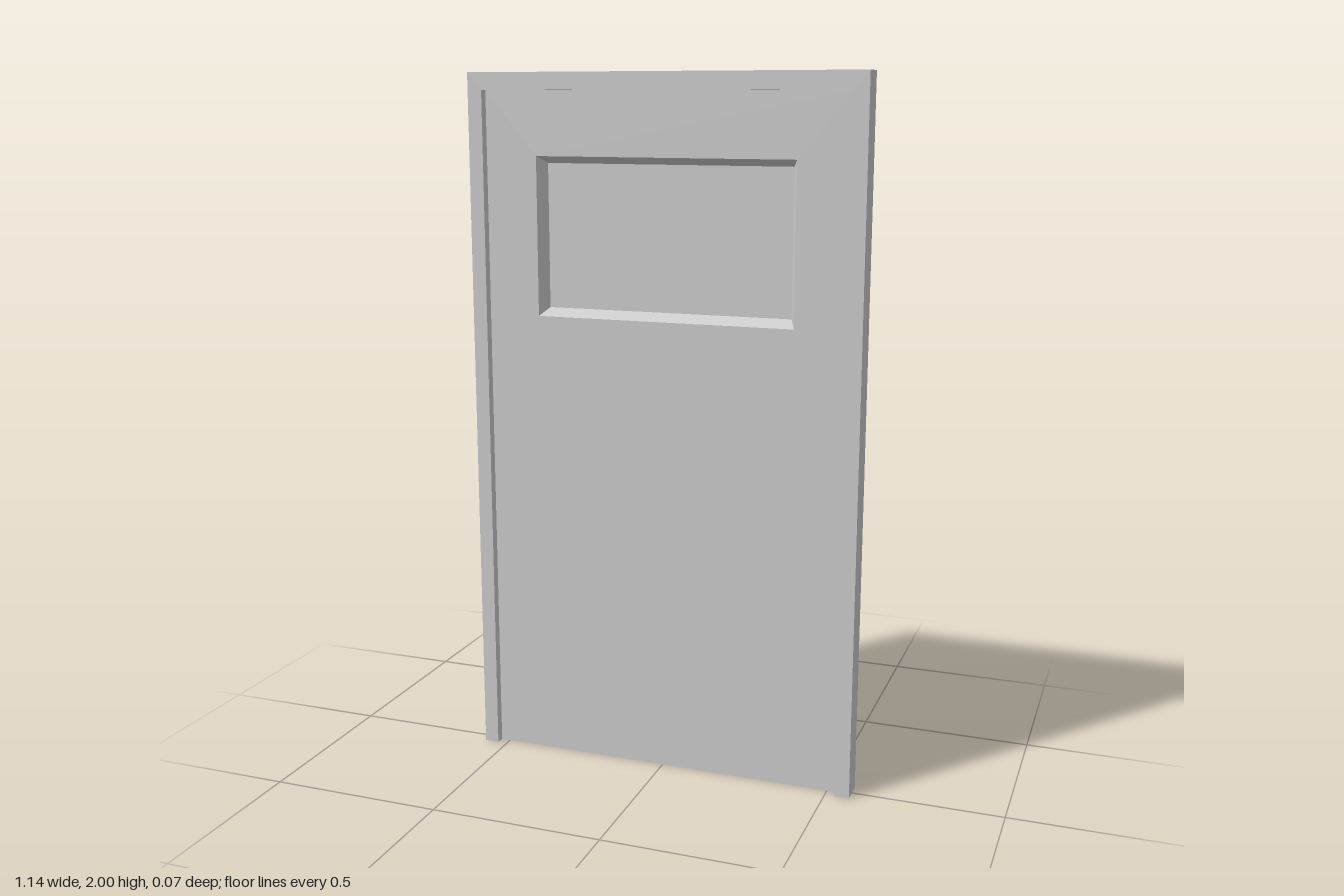
import * as THREE from 'three';

const material = new THREE.MeshStandardMaterial({
  color: 0xcccccc, flatShading: true, side: THREE.DoubleSide,
});

const W = 0.57, H = 2, Z = 0.037;      // outer half width, height, half depth
const IW = 0.528, IH = 1.952;          // frame opening
const DOOR_Z = 0.011, PAN_Z = -0.03;   // door sheet and window pan floor

function mesh(name, geometry) {
  const m = new THREE.Mesh(geometry, material);
  m.name = name;
  return m;
}

// Corners of a rectangle: up the -x side, across the top, down the +x side
function corners(w, bottom, top, z) {
  return [[-w, bottom, z], [-w, top, z], [w, top, z], [w, bottom, z]];
}

// Folded sheet running through successive corner loops
function foldedSheet(loops, closed) {
  const pos = [];
  for (let l = 0; l < loops.length - 1; l++) {
    const a = loops[l], b = loops[l + 1];
    const n = closed ? a.length : a.length - 1;
    for (let i = 0; i < n; i++) {
      const j = (i + 1) % a.length;
      pos.push(...a[i], ...b[i], ...b[j], ...a[i], ...b[j], ...a[j]);
    }
  }
  const g = new THREE.BufferGeometry();
  g.setAttribute('position', new THREE.Float32BufferAttribute(pos, 3));
  g.computeVertexNormals();
  return g;
}

export function createModel() {
  const group = new THREE.Group();
  group.name = 'door';

  // Frame: outer wall, front face and return to the door sheet, open at the back
  group.add(mesh('frame', foldedSheet([
    corners(W, 0, H, -Z), corners(W, 0, H, Z),
    corners(IW, 0, IH, Z), corners(IW, 0, IH, DOOR_Z),
  ], false)));

  // Plates closing the bottom of each jamb
  for (const side of [-1, 1]) {
    const foot = new THREE.PlaneGeometry(W - IW, 2 * Z).rotateX(Math.PI / 2);
    foot.translate(side * (W + IW) / 2, 0, 0);
    group.add(mesh(side > 0 ? 'leftFootPlate' : 'rightFootPlate', foot));
  }

  // Door sheet with an opening for the window
  const toVectors = (pts) => pts.map(([x, y]) => new THREE.Vector2(x, y));
  const rim = corners(0.376, 1.323, 1.772, DOOR_Z);
  const floor = corners(0.358, 1.344, 1.752, PAN_Z);
  const sheet = new THREE.Shape(toVectors(corners(IW, 0, IH, 0)));
  sheet.holes.push(new THREE.Path(toVectors(rim)));
  group.add(mesh('doorSheet', new THREE.ShapeGeometry(sheet).translate(0, 0, DOOR_Z)));

  // Window pan with sloping sides, pressed out towards the back
  group.add(mesh('windowSurround', foldedSheet([rim, floor], true)));
  const pane = new THREE.ShapeGeometry(new THREE.Shape(toVectors(floor)));
  group.add(mesh('windowPane', pane.translate(0, 0, PAN_Z)));

  return group;
}
